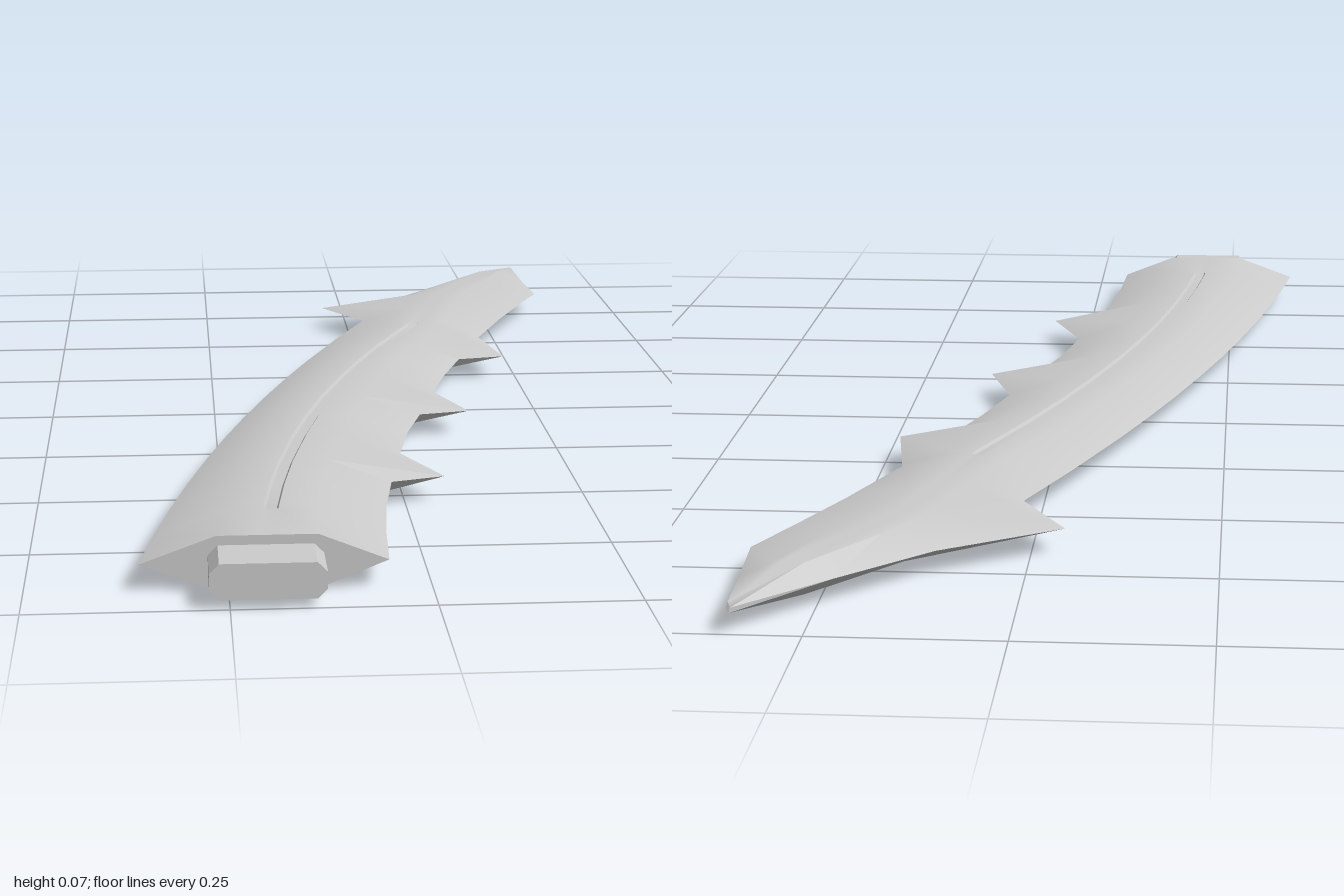
import * as THREE from 'three';
import { toCreasedNormals } from 'three/addons/utils/BufferGeometryUtils.js';

const MID = 0.0385; // height of the blade's centre plane

// cutting edge of the curved body: station z, edge x, and edge z for the raked barb tips
const BODY = [
  [0.92, -0.053], [0.8, -0.047], [0.78, -0.045], [0.67, -0.036],
  [0.555, -0.02], [0.55, 0.055, 0.53], // first barb
  [0.4, 0.005], [0.28, 0.026],
  [0.168, 0.055], [0.163, 0.13, 0.15], // second barb
  [0.02, 0.09], [-0.1, 0.12],
  [-0.213, 0.155], [-0.218, 0.23, -0.23], // third barb
  [-0.385, 0.207], [-0.4, 0.213],
];

// head: z, back edge x, flat from x, flat to x, cutting edge x
const HEAD = [
  [-0.54, 0.02, 0.1, 0.175, 0.263],
  [-0.66, -0.045, 0.13, 0.21, 0.311], // back spike
  [-0.765, 0.115, 0.185, 0.255, 0.355],
  [-0.885, 0.23, 0.265, 0.305, 0.348],
  [-1, 0.337, 0.339, 0.34, 0.342], // point
];

// body stations: the back edge and the flat follow smooth curves
function bodyStation([z, edge, edgeZ = z]) {
  const t = (0.92 - z) / 1.46;
  const s = (0.92 - z) / 1.32;
  const f1 = -0.14 + 0.06 * s + 0.225 * s * s;
  return {
    z, edge, edgeZ, f1,
    f0: f1 - 0.125 + 0.033 * s,
    back: -0.36 + 0.2 * t + 0.18 * t * t,
  };
}

const headStation = ([z, back, f0, f1, edge]) => ({ z, back, f0, f1, edge, edgeZ: z });

// closed cross-section: over the top from back edge to cutting edge, then back underneath
function section({ z, back, f0, f1, edge, edgeZ }) {
  const h = Math.min(0.0276 + 0.0075 * z, 0.007 + 0.12 * (z + 1)); // taper, then the point
  const depth = z < 0.79 && z > -0.39 ? 0.004 : 0; // shallow groove
  const c = (f0 + f1) / 2;
  const top = [
    [f0, h], [c - 0.01, h], [c - 0.007, h - depth],
    [c + 0.007, h - depth], [c + 0.01, h], [f1, h],
  ].map(([x, y]) => [THREE.MathUtils.clamp(x, f0, f1), y]);
  return [
    [back, MID, z],
    ...top.map(([x, y]) => [x, MID + y, z]),
    [edge, MID, edgeZ],
    ...top.reverse().map(([x, y]) => [x, MID - y, z]),
  ];
}

function bladeGeometry() {
  const rings = [...BODY.map(bodyStation), ...HEAD.map(headStation)].map(section);
  const first = rings[0], last = rings[rings.length - 1];
  const n = first.length;
  const pos = [];
  const tri = (a, b, c) => pos.push(...a, ...b, ...c);
  for (let j = 0; j < n; j++) {
    const k = (j + 1) % n;
    for (let i = 0; i < rings.length - 1; i++) {
      const a = rings[i], b = rings[i + 1];
      tri(a[j], a[k], b[j]);
      tri(a[k], b[k], b[j]);
    }
    // end caps
    tri([-0.2, MID, 0.92], first[k], first[j]);
    tri([0.34, MID, -1], last[j], last[k]);
  }
  const g = new THREE.BufferGeometry();
  g.setAttribute('position', new THREE.Float32BufferAttribute(pos, 3));
  return toCreasedNormals(g, 0.5);
}

// chamfered block that plugs into a handle
function tangGeometry() {
  const w = 0.071, h = 0.0225, c = 0.012;
  const shape = new THREE.Shape([
    [-w + c, -h], [w - c, -h], [w, -h + c], [w, h - c],
    [w - c, h], [-w + c, h], [-w, h - c], [-w, -h + c],
  ].map(([x, y]) => new THREE.Vector2(x, y)));
  return new THREE.ExtrudeGeometry(shape, { depth: 0.1, bevelEnabled: false });
}

export function createModel() {
  const group = new THREE.Group();
  const steel = new THREE.MeshStandardMaterial({ color: 0xcccccc });
  steel.name = 'paleSteel';

  const blade = new THREE.Mesh(bladeGeometry(), steel);
  blade.name = 'blade';

  const tang = new THREE.Mesh(tangGeometry(), steel);
  tang.name = 'tang';
  tang.position.set(-0.204, MID, 0.9);

  group.add(blade, tang);
  return group;
}
